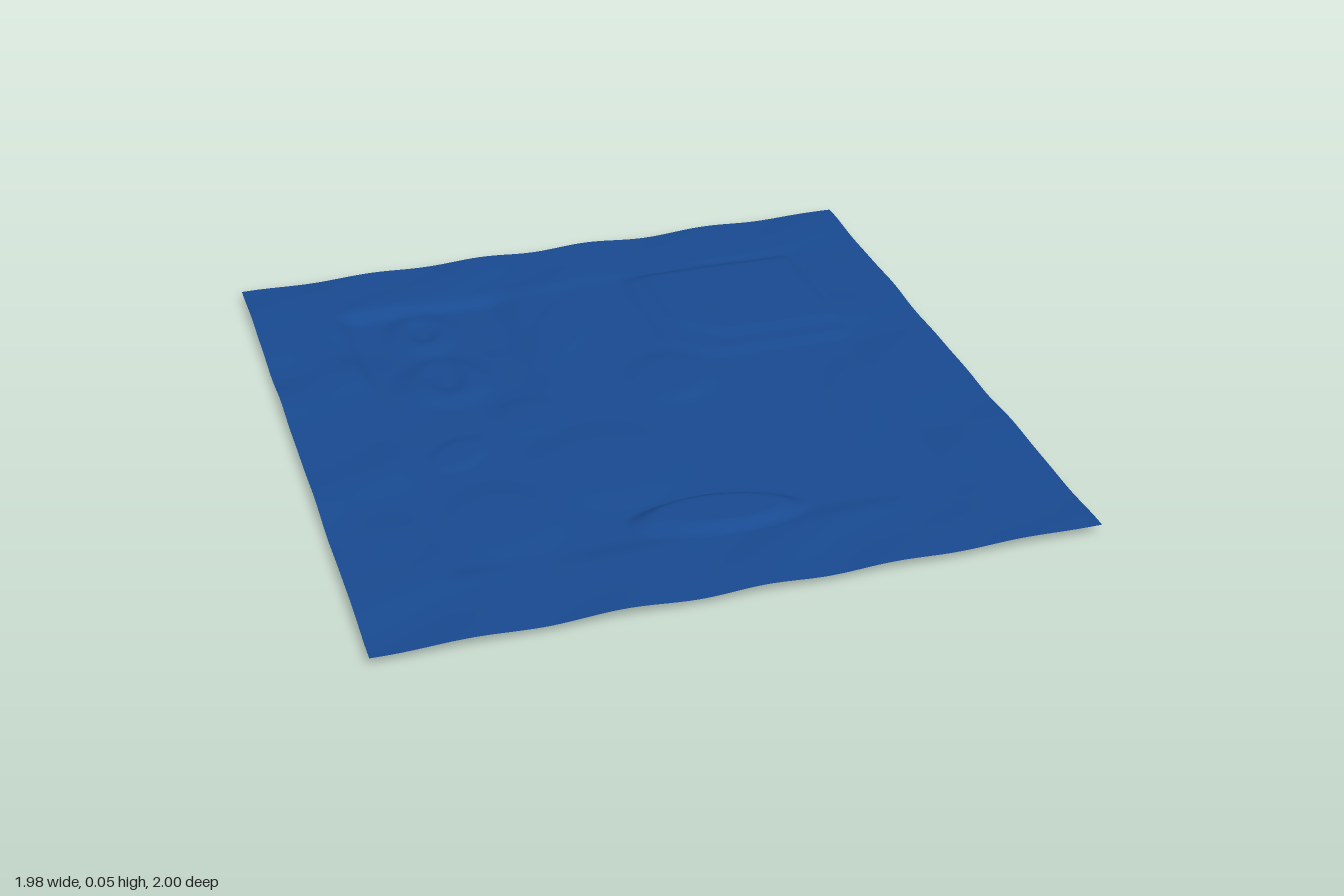
import * as THREE from 'three';

const smooth = (a, b, v) => THREE.MathUtils.smoothstep(v, a, b);

// 1 inside a soft-edged rectangle, 0 outside
const box = (x, z, x0, x1, z0, z1, e = 0.03) =>
  smooth(x0 - e, x0 + e, x) * (1 - smooth(x1 - e, x1 + e, x)) *
  smooth(z0 - e, z0 + e, z) * (1 - smooth(z1 - e, z1 + e, z));

// 1 inside a soft-edged, rotated ellipse, 0 outside
function oval(x, z, cx, cz, rx, rz, turn = 0, soft = 0.35) {
  const c = Math.cos(turn), s = Math.sin(turn), dx = x - cx, dz = z - cz;
  const d = Math.hypot((dx * c + dz * s) / rx, (dz * c - dx * s) / rz);
  return 1 - smooth(1 - soft, 1 + soft, d);
}

// gentle diagonal ripples of the outer ground
const ripple = (x, z) =>
  0.0035 * Math.sin(9 * x + 13 * z + 2 * Math.sin(4 * x)) +
  0.003 * Math.sin(17 * x - 6 * z + 1.5 * Math.sin(7 * z)) +
  0.002 * Math.sin(23 * z + 11 * x);

// ovals: centre x, centre z, radius x, radius z, turn, height
const OVALS = [
  [-0.5, -0.6, 0.1, 0.12, 0, 0.012],
  [-0.5, -0.6, 0.04, 0.06, 0, -0.007],
  [-0.5, -0.27, 0.12, 0.13, 0, 0.013],
  [-0.5, -0.3, 0.05, 0.09, 0, -0.008],
  [-0.52, 0.5, 0.15, 0.16, 0, 0.007],
  [-0.56, 0.14, 0.09, 0.06, -0.7, 0.006],
  [-0.32, 0.0, 0.09, 0.1, 0, 0.004],
  [-0.18, 0.32, 0.21, 0.19, 0.2, 0.008],
  [-0.08, -0.5, 0.08, 0.2, 0.5, 0.004],
  [0.14, -0.1, 0.12, 0.13, 0.6, 0.007],
  [0.6, 0.2, 0.07, 0.22, 0.25, 0.004],
];

function height(x, z) {
  const inner = box(x, z, -0.72, 0.73, -0.74, 0.72, 0.04);
  let y = 0.034 + ripple(x, z) * (1 - 0.8 * inner) * (1 - 0.4 * smooth(0.6, 1, x));
  y -= 0.006 * inner;
  // sunken yard with a sharp back wall
  const yard = smooth(-0.76, -0.71, z) * (1 - smooth(-0.72, 0.1, z)) *
    smooth(-0.75, -0.69, x) * (1 - smooth(-0.28, -0.16, x));
  y -= 0.021 * yard;
  // two-step terrace with one cut corner
  for (const [front, left, cut] of [[-0.28, 0.24, -0.12], [-0.185, 0.18, 0.03]]) {
    const corner = 1 - smooth(cut - 0.04, cut + 0.04, z - 0.9 * (x - 0.3) + 0.22);
    y += 0.0095 * corner * box(x, z, left, 0.73, -0.72, front, 0.025);
  }
  for (const [cx, cz, rx, rz, turn, h] of OVALS) y += h * oval(x, z, cx, cz, rx, rz, turn);
  // long mound at the front
  y += 0.026 * oval(x, z, 0.03, 0.645, 0.215, 0.08, 0.07, 0.22);
  return THREE.MathUtils.clamp(y, 0, 0.057);
}

export function createModel() {
  const group = new THREE.Group();
  const geometry = new THREE.PlaneGeometry(1.98, 2, 160, 160).rotateX(-Math.PI / 2);
  const p = geometry.attributes.position;
  for (let i = 0; i < p.count; i++) p.setY(i, height(p.getX(i), p.getZ(i)));
  geometry.computeBoundingBox();
  geometry.translate(0, -geometry.boundingBox.min.y, 0);
  geometry.computeVertexNormals();

  const ground = new THREE.Mesh(geometry,
    new THREE.MeshStandardMaterial({ color: 0x18498f, side: THREE.DoubleSide }));
  ground.name = 'groundRelief';
  group.add(ground);
  return group;
}
